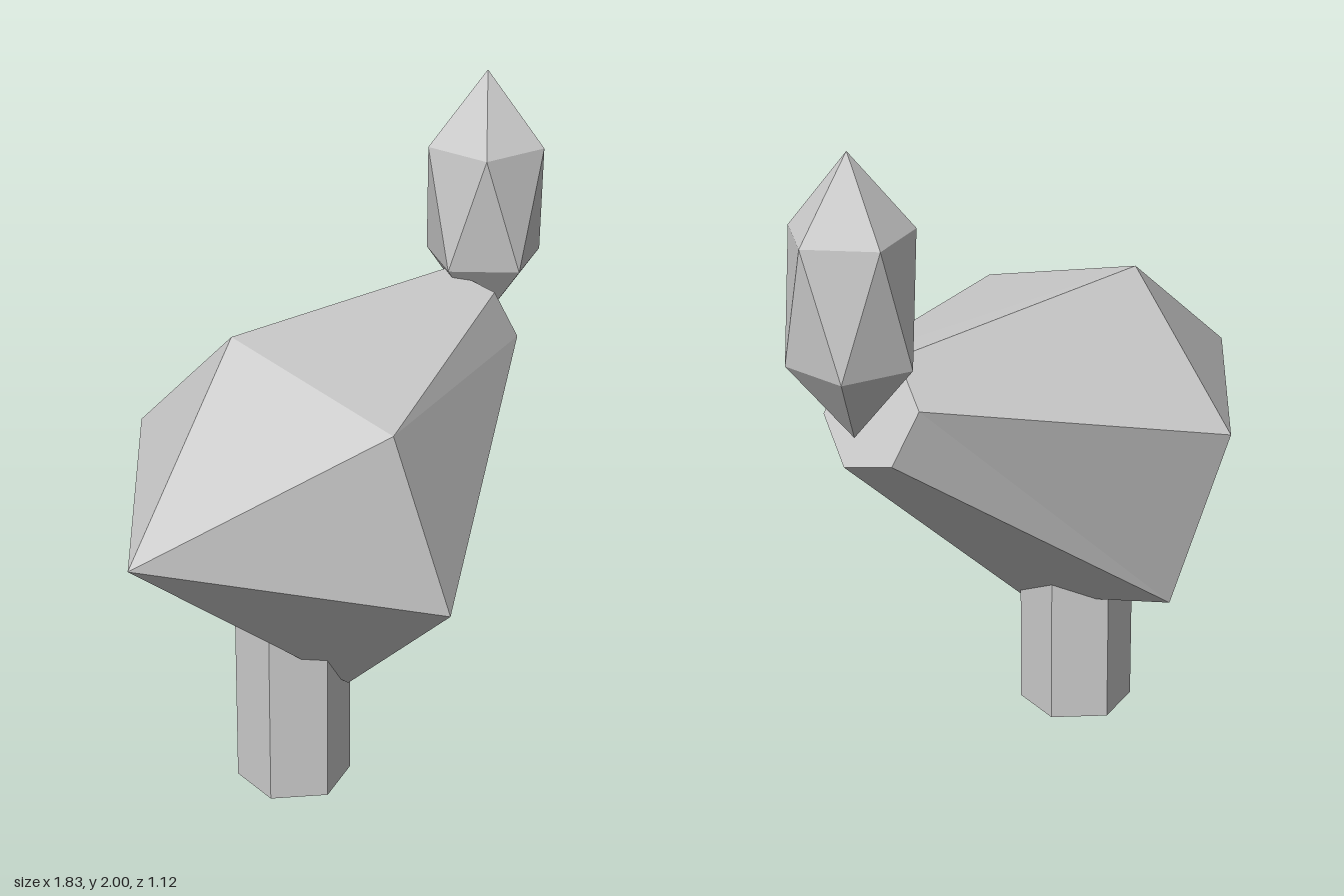
import * as THREE from 'three';

// Hexagonal section around the body axis, leaning back by tilt (radians)
function hexRing(cx, cy, r, tilt) {
  return Array.from({ length: 6 }, (_, i) => {
    const a = THREE.MathUtils.degToRad(15.5 + 60 * i);
    const up = r * Math.sin(a);
    return [cx - up * Math.sin(tilt), cy + up * Math.cos(tilt), -r * Math.cos(a)];
  });
}

// Faceted body: pointed tail, wide middle section, small cut-off neck
function bodyGeometry() {
  const tail = [-0.92, 1.0, 0];
  const wide = hexRing(-0.215, 0.885, 0.583, 0.15);
  const neck = hexRing(0.665, 1.235, 0.175, 0.4);
  const points = [];
  const tri = (...corners) => corners.forEach((p) => points.push(...p));
  for (let i = 0; i < 6; i++) {
    const j = (i + 1) % 6;
    tri(tail, wide[j], wide[i]);
    tri(wide[i], wide[j], neck[j]);
    tri(wide[i], neck[j], neck[i]);
    if (i > 0 && i < 5) tri(neck[0], neck[i], neck[j]);
  }
  const geometry = new THREE.BufferGeometry();
  geometry.setAttribute('position', new THREE.Float32BufferAttribute(points, 3));
  geometry.computeVertexNormals();
  return geometry;
}

export function createModel() {
  const group = new THREE.Group();
  const grey = new THREE.MeshStandardMaterial({ color: 0xcccccc, flatShading: true });
  grey.name = 'light grey';

  const add = (name, geometry) => {
    const mesh = new THREE.Mesh(geometry, grey);
    mesh.name = name;
    group.add(mesh);
  };

  add('body', bodyGeometry());

  // Head: a tall icosahedron standing on one corner
  const head = new THREE.IcosahedronGeometry(1, 0);
  head.rotateZ(-Math.atan(2 / (1 + Math.sqrt(5))));
  head.scale(0.205, 0.41, 0.205);
  head.translate(0.73, 1.59, 0);
  add('head', head);

  // Leg: a six-sided post running up into the body
  const leg = new THREE.CylinderGeometry(0.173, 0.173, 0.7, 6, 1, false, Math.PI / 4);
  leg.translate(-0.2125, 0.35, 0);
  add('leg', leg);

  return group;
}
